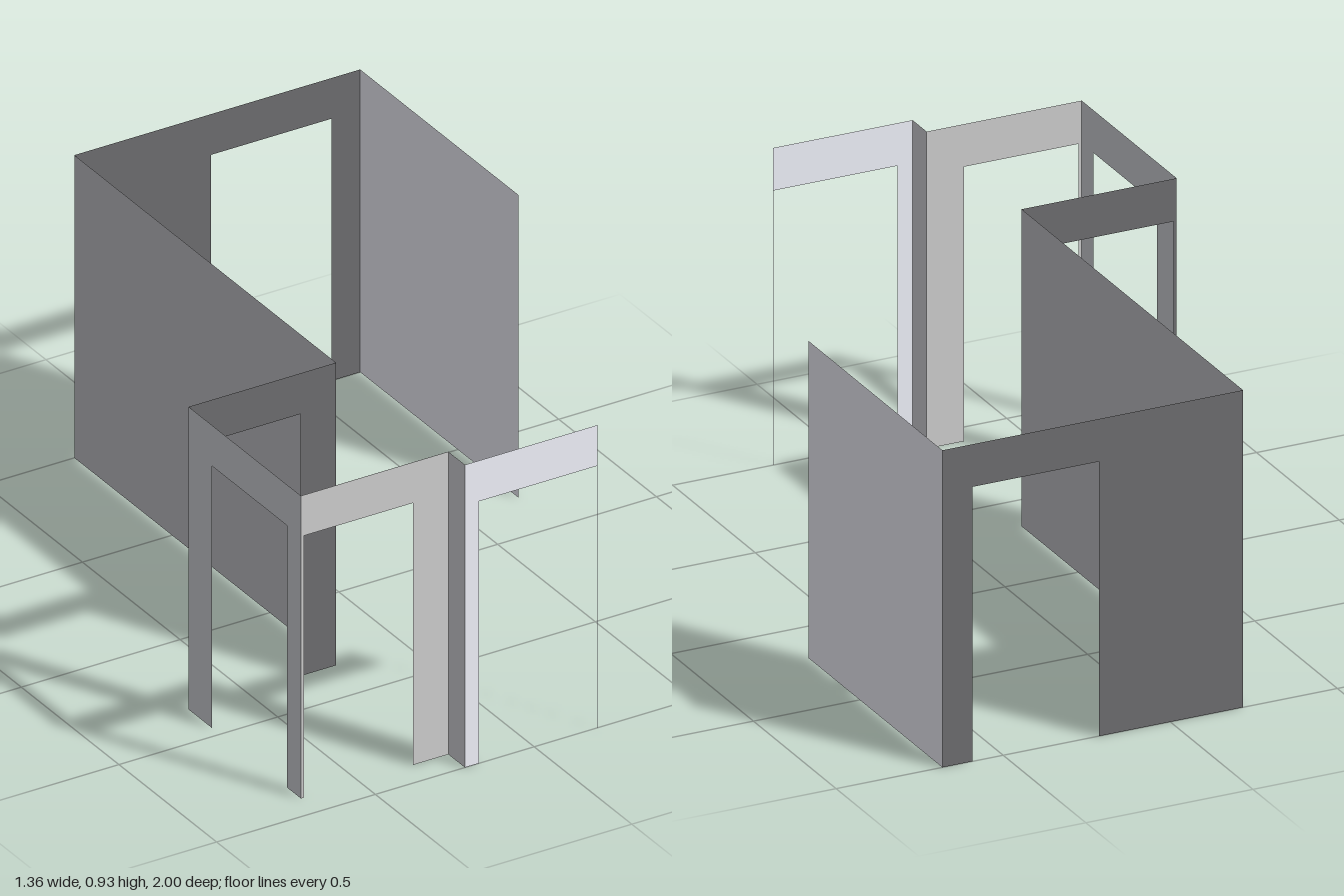
import * as THREE from 'three';

const HEIGHT = 0.93, DOOR_TOP = 0.805;

export function createModel() {
  const group = new THREE.Group();

  // Paper-thin wall between two plan points; door = [start, end] measured along the wall
  function wall(name, color, [x0, z0], [x1, z1], door) {
    const length = Math.hypot(x1 - x0, z1 - z0);
    const outline = [[0, 0]];
    if (door) outline.push([door[0], 0], [door[0], DOOR_TOP], [door[1], DOOR_TOP], [door[1], 0]);
    outline.push([length, 0], [length, HEIGHT], [0, HEIGHT]);
    const shape = new THREE.Shape(outline.map(([u, v]) => new THREE.Vector2(u, v)));
    const material = new THREE.MeshStandardMaterial({ color, side: THREE.DoubleSide });
    const mesh = new THREE.Mesh(new THREE.ShapeGeometry(shape), material);
    mesh.position.set(x0, 0, z0);
    mesh.rotation.y = Math.atan2(z0 - z1, x1 - x0);
    mesh.name = name;
    group.add(mesh);
  }

  // Large room, open at the front
  wall('leftSideWall', 0xd0d0d8, [0.682, -0.19], [0.682, -1]);
  wall('backWall', 0x6c6c6e, [-0.218, -1], [0.682, -1], [0.431, 0.81]);
  wall('longWall', 0xa4a4a8, [-0.218, 0.34], [-0.218, -1]);

  // Small side room with a doorway in each wall
  wall('sideRoomBackWall', 0x6c6c6e, [-0.682, 0.34], [-0.218, 0.34], [0.01, 0.352]);
  wall('sideRoomOuterWall', 0xb0b2b6, [-0.682, 0.915], [-0.682, 0.34], [0.072, 0.455]);
  wall('sideRoomFrontWall', 0xf2f5f3, [-0.682, 0.915], [-0.218, 0.915], [0.01, 0.352]);

  // Stepped entrance at the front
  wall('entranceReturn', 0xb4b4b8, [-0.218, 1], [-0.218, 0.915]);
  wall('entranceWall', 0xeef0f8, [-0.218, 1], [0.2, 1], [0.045, 0.416]);

  return group;
}
